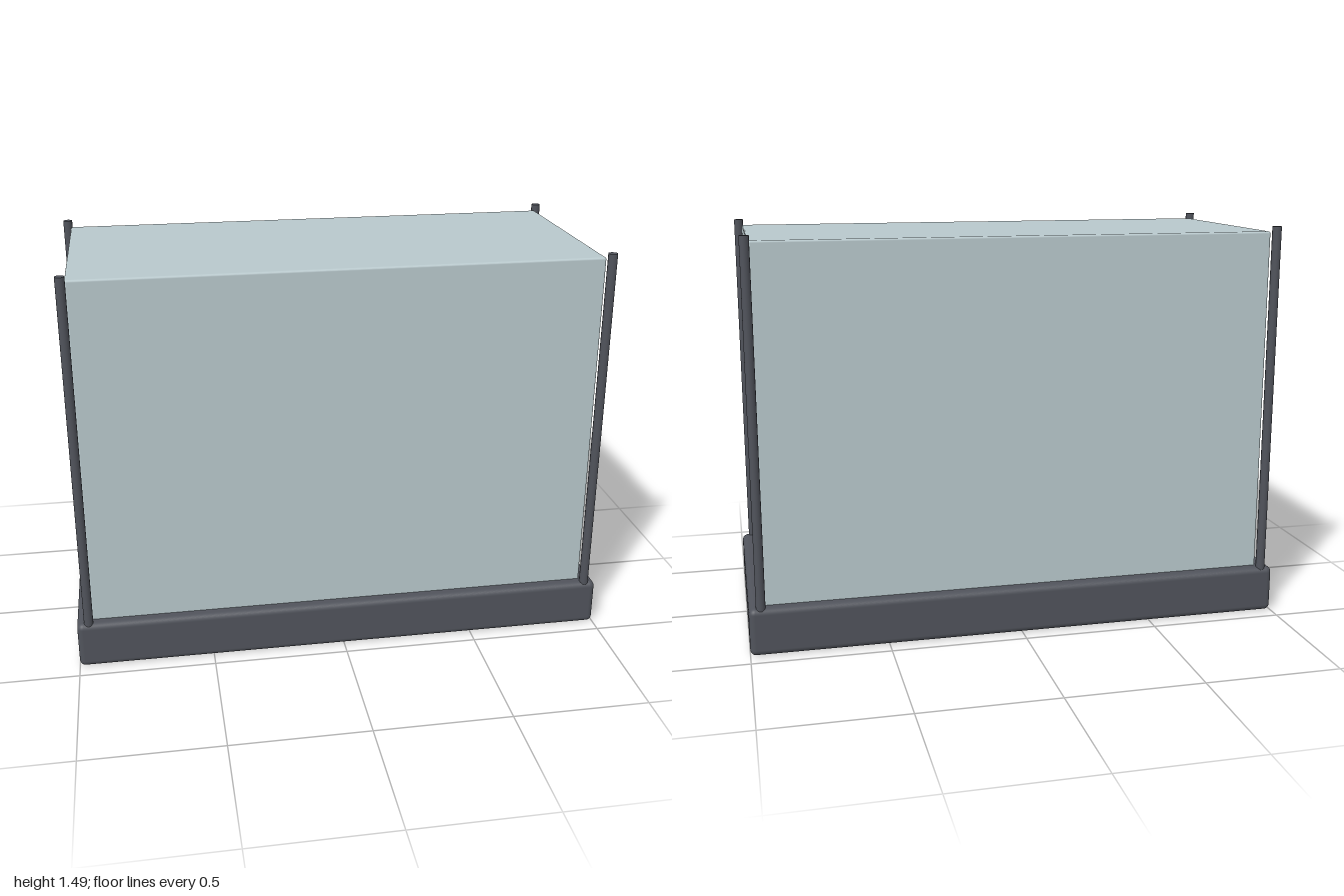
import * as THREE from 'three';
import { RoundedBoxGeometry } from 'three/addons/geometries/RoundedBoxGeometry.js';

export function createModel() {
  const group = new THREE.Group();
  group.name = 'displayCase';

  const glass = new THREE.MeshStandardMaterial({ color: 0xb8c8cc });
  glass.name = 'pale glass';
  const metal = new THREE.MeshStandardMaterial({ color: 0x50535b });
  metal.name = 'dark metal';

  const add = (name, geometry, material, x, y, z) => {
    const mesh = new THREE.Mesh(geometry, material);
    mesh.name = name;
    mesh.position.set(x, y, z);
    group.add(mesh);
  };

  // Plinth with softened edges
  const baseTop = 0.176;
  add('base', new RoundedBoxGeometry(2, baseTop, 0.89, 4, 0.022), metal, 0, baseTop / 2, 0);

  // Glass block, sunk slightly into the plinth
  const glassBottom = 0.16, glassTop = 1.47;
  add('glassCase', new RoundedBoxGeometry(1.89, glassTop - glassBottom, 0.805, 3, 0.008),
    glass, 0, (glassTop + glassBottom) / 2, 0);

  // Slim corner posts rising just above the glass
  const postBottom = 0.16, postTop = 1.49;
  const post = new THREE.CylinderGeometry(0.017, 0.017, postTop - postBottom, 16);
  for (const [side, x] of [['Left', 0.957], ['Right', -0.957]]) {
    for (const [end, z] of [['front', 0.424], ['back', -0.424]]) {
      add(`${end}${side}Post`, post, metal, x, (postTop + postBottom) / 2, z);
    }
  }

  return group;
}
